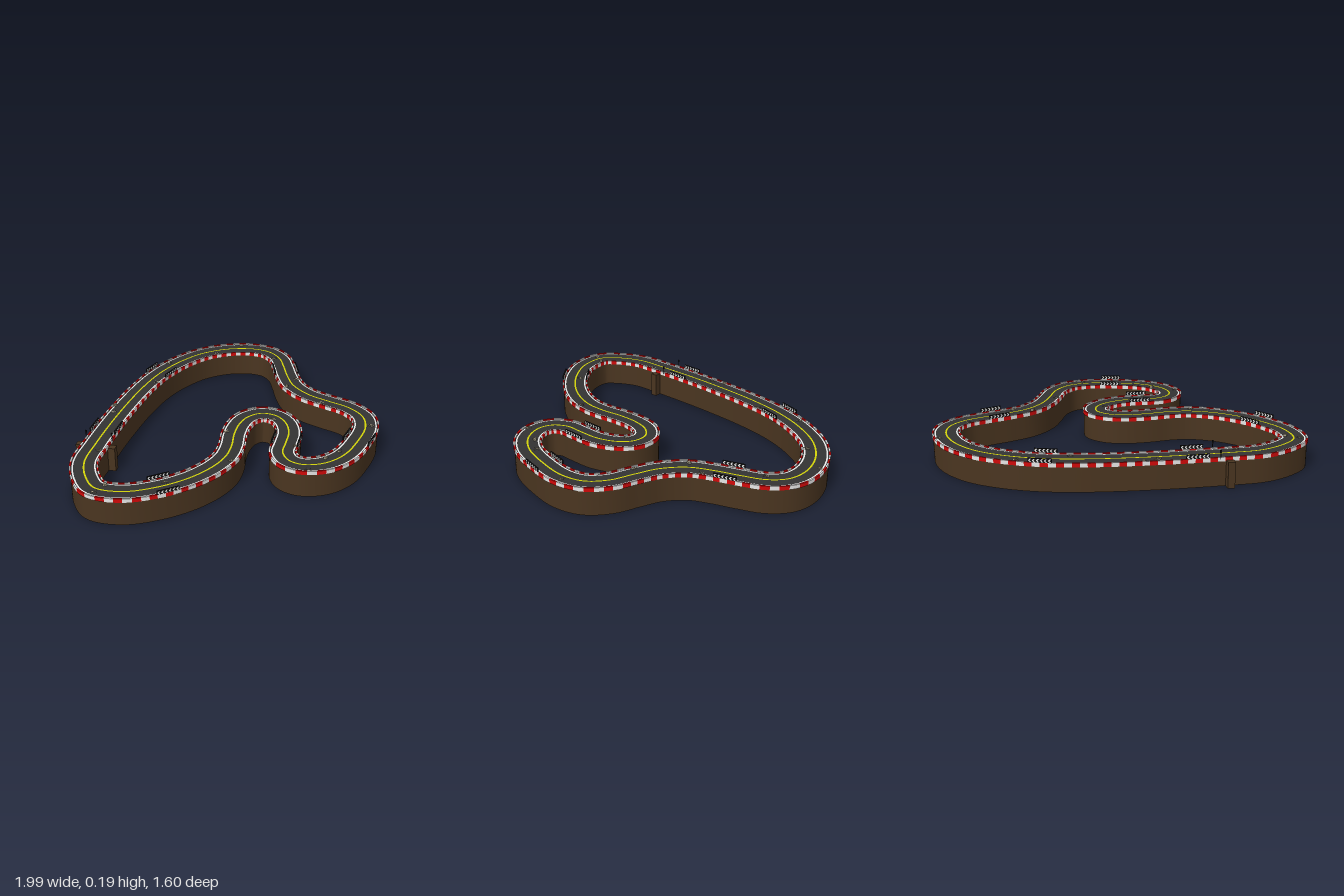
import * as THREE from 'three';

const mat = (name, color, side = THREE.FrontSide) => {
  const m = new THREE.MeshStandardMaterial({ color, side });
  m.name = name;
  return m;
};

// Centre line of the circuit as x, z pairs
const PATH = [
  [-0.92, -0.02], [-0.885, -0.13], [-0.79, -0.25], [-0.635, -0.342], [-0.315, -0.505],
  [0.015, -0.645], [0.24, -0.71], [0.44, -0.728], [0.62, -0.705], [0.78, -0.625],
  [0.885, -0.51], [0.92, -0.4], [0.89, -0.29], [0.81, -0.19], [0.715, -0.085],
  [0.64, 0.02], [0.603, 0.16], [0.612, 0.3], [0.625, 0.43], [0.592, 0.55],
  [0.5, 0.635], [0.35, 0.69], [0.165, 0.722], [0.03, 0.692], [-0.055, 0.615],
  [-0.068, 0.535], [-0.025, 0.462], [0.06, 0.415], [0.165, 0.355], [0.243, 0.268],
  [0.268, 0.18], [0.235, 0.103], [0.15, 0.072], [0.055, 0.09], [-0.05, 0.143],
  [-0.155, 0.215], [-0.265, 0.266], [-0.4, 0.283], [-0.56, 0.262], [-0.72, 0.2], [-0.85, 0.108],
];
const N = 480, ROAD_Y = 0.15;

export function createModel() {
  const model = new THREE.Group();
  const asphalt = mat('asphalt', 0x333333);
  const earth = mat('earth brown', 0x4a3520);
  const red = mat('kerb red', 0xd00808);
  const white = mat('white', 0xe8e8e8, THREE.DoubleSide);
  const yellow = mat('line yellow', 0xd2d208);
  const black = mat('black', 0x141414);
  const beige = mat('debris beige', 0xa8a088);

  // Evenly spaced frames: centre, tangent, outward direction
  const curve = new THREE.CatmullRomCurve3(PATH.map(([x, z]) => new THREE.Vector3(x, 0, z)), true, 'centripetal');
  curve.arcLengthDivisions = 1200;
  const frames = [];
  for (let i = 0; i < N; i++) {
    const t = curve.getTangentAt(i / N).normalize();
    frames.push({ p: curve.getPointAt(i / N), t, out: new THREE.Vector3(t.z, 0, -t.x) });
  }

  const add = (parent, name, geo, material, x = 0, y = 0, z = 0) => {
    const mesh = new THREE.Mesh(geo, material);
    mesh.name = name;
    mesh.position.set(x, y, z);
    parent.add(mesh);
    return mesh;
  };

  // Sweep an (offset, height) section around the circuit, one crisp strip per edge
  const sweep = (name, section, material, closed = false, keep = () => true) => {
    const pos = [], index = [];
    const edges = closed ? section.length : section.length - 1;
    for (let e = 0; e < edges; e++) {
      const base = pos.length / 3;
      for (const { p, out } of frames) {
        for (const [o, y] of [section[e], section[(e + 1) % section.length]]) {
          pos.push(p.x + out.x * o, y, p.z + out.z * o);
        }
      }
      for (let i = 0; i < N; i++) {
        if (!keep(i)) continue;
        const a = base + 2 * i, d = base + 2 * ((i + 1) % N);
        index.push(a, a + 1, d + 1, a, d + 1, d);
      }
    }
    const geo = new THREE.BufferGeometry();
    geo.setAttribute('position', new THREE.Float32BufferAttribute(pos, 3));
    geo.setIndex(index);
    geo.computeVertexNormals();
    return add(model, name, geo, material);
  };
  const ribbon = (name, o, half, material) =>
    sweep(name, [[o + half, ROAD_Y + 0.0015], [o - half, ROAD_Y + 0.0015]], material);

  // Embankment, road surface and painted lines
  sweep('embankment', [[0.07, 0.14], [-0.07, 0.14], [-0.07, 0], [0.07, 0]], earth, true);
  sweep('road', [[0.069, 0.138], [0.069, ROAD_Y], [-0.069, ROAD_Y], [-0.069, 0.138]], asphalt);
  ribbon('centreLine', 0, 0.0045, yellow);
  ribbon('outerEdgeLine', 0.058, 0.004, white);
  ribbon('innerEdgeLine', -0.058, 0.004, white);

  // Kerbs in alternating blocks on both edges
  for (const [side, c] of [['outer', 0.0705], ['inner', -0.0705]]) {
    const box = [[c + 0.0045, 0.135], [c + 0.0045, 0.157], [c - 0.0045, 0.157], [c - 0.0045, 0.135]];
    sweep(side + 'KerbRed', box, red, true, i => Math.floor(i / 3) % 2 === 0);
    sweep(side + 'KerbWhite', box, white, true, i => Math.floor(i / 3) % 2 === 1);
  }

  // Group standing on the circuit nearest (x, z): local x runs along the road, local z points inward
  const station = (name, x, z) => {
    let best = frames[0], dist = Infinity;
    for (const f of frames) {
      const d = Math.hypot(f.p.x - x, f.p.z - z);
      if (d < dist) { dist = d; best = f; }
    }
    const g = new THREE.Group();
    g.name = name;
    g.position.copy(best.p);
    g.rotation.y = Math.atan2(-best.t.z, best.t.x);
    model.add(g);
    return g;
  };

  // Chevron barriers, a pair at each of six places
  const boardGeo = new THREE.BoxGeometry(0.12, 0.022, 0.007);
  const h = 0.009, w = 0.008;
  const chevron = new THREE.ShapeGeometry(new THREE.Shape([
    [-w, -h], [0, -h], [w, 0], [0, h], [-w, h], [0, 0],
  ].map(([x, y]) => new THREE.Vector2(x, y))));
  for (const [x, z] of [[-0.48, -0.42], [0.23, -0.707], [0.77, -0.14], [0.36, 0.688], [0.08, 0.405], [-0.68, 0.218]]) {
    const g = station('barrierPair', x, z);
    for (const s of [-1, 1]) {
      add(g, 'barrierBoard', boardGeo, black, 0, 0.168, s * 0.0715);
      for (const face of [-1, 1]) for (let i = 0; i < 6; i++) {
        add(g, 'chevron', chevron, white, -0.05 + i * 0.02, 0.168, s * 0.0715 + face * 0.0042);
      }
    }
  }

  // Start posts: brown piers against the walls and slim signal poles beside them
  const start = station('startPosts', -0.627, -0.345);
  for (const s of [-1, 1]) {
    add(start, 'pier', new THREE.BoxGeometry(0.038, 0.14, 0.04), earth, 0, 0.07, s * 0.091);
    add(start, 'signalPole', new THREE.CylinderGeometry(0.0025, 0.0025, 0.045, 8), black, 0.05, 0.17, s * 0.074);
    add(start, 'signalLamp', new THREE.BoxGeometry(0.008, 0.014, 0.008), black, 0.05, 0.188, s * 0.074);
  }

  // Small marker blocks beside the road
  for (const [x, z] of [[-0.87, 0], [-0.26, -0.595], [0.6, 0], [0.075, 0.67]]) {
    add(model, 'markerBlock', new THREE.BoxGeometry(0.018, 0.014, 0.014), beige, x, 0.155, z);
  }

  // Scattered debris on the road, each a small cross of thin strips
  const strip = new THREE.BoxGeometry(0.034, 0.002, 0.004);
  [
    [0.36, -0.77], [-0.32, -0.545], [0.12, -0.63], [0.67, -0.64], [0.88, -0.6], [0.86, -0.31],
    [0.56, 0.28], [0.53, 0.65], [0.18, 0.68], [-0.08, 0.67], [0.07, 0.47], [-0.27, 0.31],
    [-0.65, 0.2], [-0.06, 0.09], [0.22, 0.2], [-0.95, 0], [-0.66, -0.28], [0.72, -0.02],
  ].forEach(([x, z], n) => {
    for (let k = 0; k < 3; k++) {
      const m = add(model, 'debris', strip, beige, x + (k - 1) * 0.005, ROAD_Y + 0.003, z + (k % 2) * 0.005);
      m.rotation.y = n * 1.3 + k * 1.1;
    }
  });

  return model;
}
